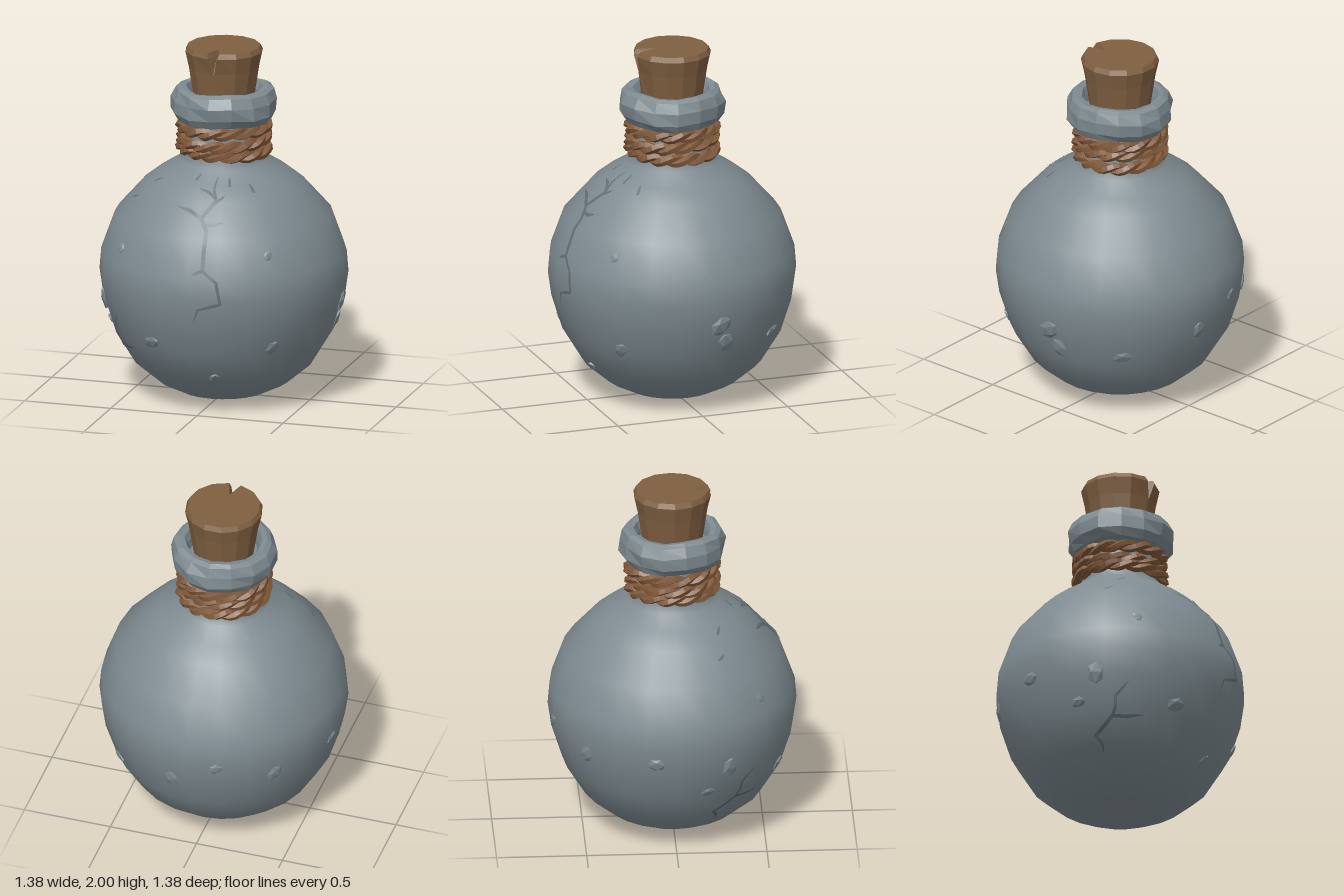
import * as THREE from 'three';
import { mergeGeometries } from 'three/addons/utils/BufferGeometryUtils.js';

const SIDES = 24;
const BODY = [[0, 0], [0.16, 0.005], [0.25, 0.03], [0.37, 0.09], [0.5, 0.2], [0.61, 0.38], [0.67, 0.57], [0.69, 0.71],
  [0.68, 0.83], [0.605, 1.04], [0.45, 1.215], [0.36, 1.285], [0.255, 1.35], [0.22, 1.4], [0.21, 1.6]];
const COLLAR = [[0.2, 1.565], [0.262, 1.585], [0.292, 1.63], [0.295, 1.7], [0.272, 1.755], [0.245, 1.77], [0.215, 1.765],
  [0.195, 1.72], [0.19, 1.68], [0, 1.68]];

const lathe = (profile, sides) => new THREE.LatheGeometry(profile.map(p => new THREE.Vector2(...p)), sides);

function flat(geometry) {
  const g = geometry.toNonIndexed();
  g.computeVertexNormals();
  return g;
}

// Body radius at a height, and the point of its faceted wall at an angle (0 = front)
function radiusAt(y) {
  const i = Math.max(1, BODY.findIndex(p => p[1] >= y));
  const [r0, y0] = BODY[i - 1], [r1, y1] = BODY[i];
  return r0 + (r1 - r0) * (y - y0) / (y1 - y0);
}
function outward(p) {
  return new THREE.Vector3(p.x, p.y - 0.7, p.z).normalize();
}
function onBody(angle, y, lift = 0) {
  const step = Math.PI * 2 / SIDES;
  const local = angle - (Math.floor(angle / step) + 0.5) * step;
  const r = radiusAt(y) * Math.cos(step / 2) / Math.cos(local);
  const p = new THREE.Vector3(r * Math.sin(angle), y, r * Math.cos(angle));
  return p.addScaledVector(outward(p), lift);
}

// Tapering ribbon that follows the body through [x, y] points on its front half
function crack(points, width) {
  const path = [];
  const steps = 4;
  for (let i = 0; i < points.length - 1; i++) {
    for (let k = i ? 1 : 0; k <= steps; k++) {
      const t = k / steps;
      const x = points[i][0] * (1 - t) + points[i + 1][0] * t;
      const y = points[i][1] * (1 - t) + points[i + 1][1] * t;
      const sine = THREE.MathUtils.clamp(x / radiusAt(y), -1, 1);
      path.push(onBody(Math.asin(sine), y, 0.004));
    }
  }
  const pos = [], idx = [];
  path.forEach((p, i) => {
    const dir = path[Math.min(i + 1, path.length - 1)].clone().sub(path[Math.max(i - 1, 0)]);
    const side = dir.cross(outward(p)).normalize();
    const w = width * (0.15 + 0.85 * Math.min(1, 2.5 * (1 - i / (path.length - 1))));
    pos.push(...p.clone().addScaledVector(side, w), ...p.clone().addScaledVector(side, -w));
    if (i) idx.push(2 * i - 2, 2 * i, 2 * i - 1, 2 * i - 1, 2 * i, 2 * i + 1);
  });
  const g = new THREE.BufferGeometry();
  g.setAttribute('position', new THREE.Float32BufferAttribute(pos, 3));
  g.setIndex(idx);
  g.computeVertexNormals();
  return g;
}

// One twisted strand of a rope ring
function strand(y, phase, tilt, tiltAngle) {
  const pts = [];
  const n = 56;
  for (let i = 0; i < n; i++) {
    const a = i / n * Math.PI * 2;
    const w = a * 7 + phase;
    const r = 0.234 + 0.016 * Math.cos(w);
    pts.push(new THREE.Vector3(r * Math.sin(a), y + 0.016 * Math.sin(w) + tilt * Math.cos(a - tiltAngle), r * Math.cos(a)));
  }
  return flat(new THREE.TubeGeometry(new THREE.CatmullRomCurve3(pts, true), n, 0.023, 5, true));
}

// Tapered stopper with a V-shaped notch in the front of its rim
function stopper() {
  const angles = [0];
  for (let i = 0; i < 14; i++) angles.push(0.17 + i / 13 * (Math.PI * 2 - 0.34));
  const rings = [[0.165, 1.67, 0.17, 0.165], [0.197, 1.88, 0.02, 0.197], [0.217, 1.972, 0.13, 0.125], [0.203, 2, 0.17, 0.1]];
  const pos = [], idx = [];
  const n = angles.length;
  rings.forEach(([r, y, gap, notch]) => angles.forEach((a, i) => {
    const angle = i === 1 ? gap : i === n - 1 ? -gap : a;
    const rad = i ? r : notch;
    pos.push(rad * Math.sin(angle), y, rad * Math.cos(angle));
  }));
  pos.push(0, 2, 0);
  for (let i = 0; i < n; i++) {
    const j = (i + 1) % n;
    for (let k = 0; k < 3; k++) {
      const a = k * n + i, b = k * n + j;
      idx.push(a, b, a + n, b, b + n, a + n);
    }
    idx.push(3 * n + i, 3 * n + j, 4 * n);
  }
  const g = new THREE.BufferGeometry();
  g.setAttribute('position', new THREE.Float32BufferAttribute(pos, 3));
  g.setIndex(idx);
  return flat(g);
}

export function createModel() {
  const model = new THREE.Group();
  model.name = 'stopperedFlask';
  const material = (name, color) => new THREE.MeshStandardMaterial({ name, color });
  const glass = material('greyGlass', 0x7e8b91);
  const dark = material('crackGrey', 0x626e73);
  const cork = material('corkBrown', 0x7f5f40);
  const rope = material('ropeBrown', 0x80593a);
  const add = (name, geometry, mat, parent = model) => {
    const mesh = new THREE.Mesh(geometry, mat);
    mesh.name = name;
    parent.add(mesh);
    return mesh;
  };

  add('body', lathe(BODY, SIDES), glass);

  // Hand-worn collar around the mouth
  const collar = lathe(COLLAR, 14);
  const p = collar.attributes.position;
  for (let i = 0; i < p.count; i++) {
    const x = p.getX(i), y = p.getY(i), z = p.getZ(i);
    const a = Math.atan2(x, z);
    const s = 1 + 0.018 * Math.sin(3 * a + y * 30) + 0.012 * Math.cos(5 * a - y * 45);
    p.setXYZ(i, x * s, y + 0.006 * Math.sin(4 * a), z * s);
  }
  add('collar', flat(collar), glass);

  add('cork', stopper(), cork);

  // Rope wraps, two twisted strands each
  const ropes = new THREE.Group();
  ropes.name = 'ropeWraps';
  model.add(ropes);
  [[1.542, 0.006, 1], [1.478, 0.014, 2.6], [1.418, 0.008, 5]].forEach(([y, tilt, at], i) =>
    add('ropeWrap' + (i + 1), mergeGeometries([strand(y, i, tilt, at), strand(y, i + Math.PI, tilt, at)]), rope, ropes));

  // Cracks: long front one with branches, a lower right one, short scratches
  const cracks = [
    [[[0.08, 0.88], [0.075, 1.08], [0.03, 1.14], [0.09, 1.22], [0.06, 1.27], [0.06, 1.32]], 0.012],
    [[[0.08, 0.88], [0.16, 0.82], [0.185, 0.7], [0.06, 0.66], [0.03, 0.58]], 0.009],
    [[[0.08, 0.88], [0.02, 0.855]], 0.009],
    [[[0.03, 1.14], [-0.04, 1.17], [-0.13, 1.185]], 0.012],
    [[[0.05, 1.11], [0.11, 1.11], [0.15, 1.125]], 0.011],
    [[[0.08, 1.235], [0.03, 1.26], [-0.02, 1.27]], 0.009],
    [[[0.085, 1.21], [0.13, 1.245]], 0.008],
    [[[-0.49, 0.34], [-0.515, 0.44], [-0.49, 0.52]], 0.009],
    [[[-0.49, 0.34], [-0.49, 0.25], [-0.42, 0.17]], 0.011],
    [[[-0.49, 0.34], [-0.44, 0.335], [-0.38, 0.345]], 0.01],
    [[[-0.06, 1.3], [-0.04, 1.33]], 0.006],
    [[[0.14, 1.28], [0.12, 1.32]], 0.007],
    [[[0.27, 1.25], [0.23, 1.29]], 0.008],
    [[[-0.33, 1.25], [-0.27, 1.28]], 0.007],
    [[[-0.45, 1.15], [-0.41, 1.17]], 0.007],
  ];
  add('cracks', mergeGeometries(cracks.map(c => crack(...c))), dark);

  // Low faceted chips set into the wall: angle, height, size, roll
  const chips = new THREE.Group();
  chips.name = 'chips';
  model.add(chips);
  [[-0.4, 0.42, 0.06, 0.4], [0.75, 0.41, 0.055, 1.2], [2.3, 0.44, 0.06, 0.2], [1.72, 0.46, 0.07, 2],
    [1.64, 0.57, 0.075, 0.7], [-1.12, 0.57, 0.07, 1.5], [-1.3, 0.42, 0.045, 0.3], [0.7, 0.95, 0.035, 0.9],
    [-0.77, 0.92, 0.035, 2.2], [-2.4, 0.6, 0.06, 1], [-1.75, 0.62, 0.055, 0.1], [3.0, 0.55, 0.06, 1.8],
    [-2.9, 0.68, 0.045, 0.5], [0.2, 0.22, 0.05, 1.4]].forEach(([angle, y, size, roll], i) => {
    const chip = add('chip' + (i + 1), new THREE.IcosahedronGeometry(1, 0), glass, chips);
    chip.position.copy(onBody(angle, y));
    chip.lookAt(chip.position.clone().add(outward(chip.position)));
    chip.rotateZ(roll);
    chip.rotateX(0.12);
    chip.scale.set(size, size * 0.75, size * 0.25);
  });

  return model;
}
